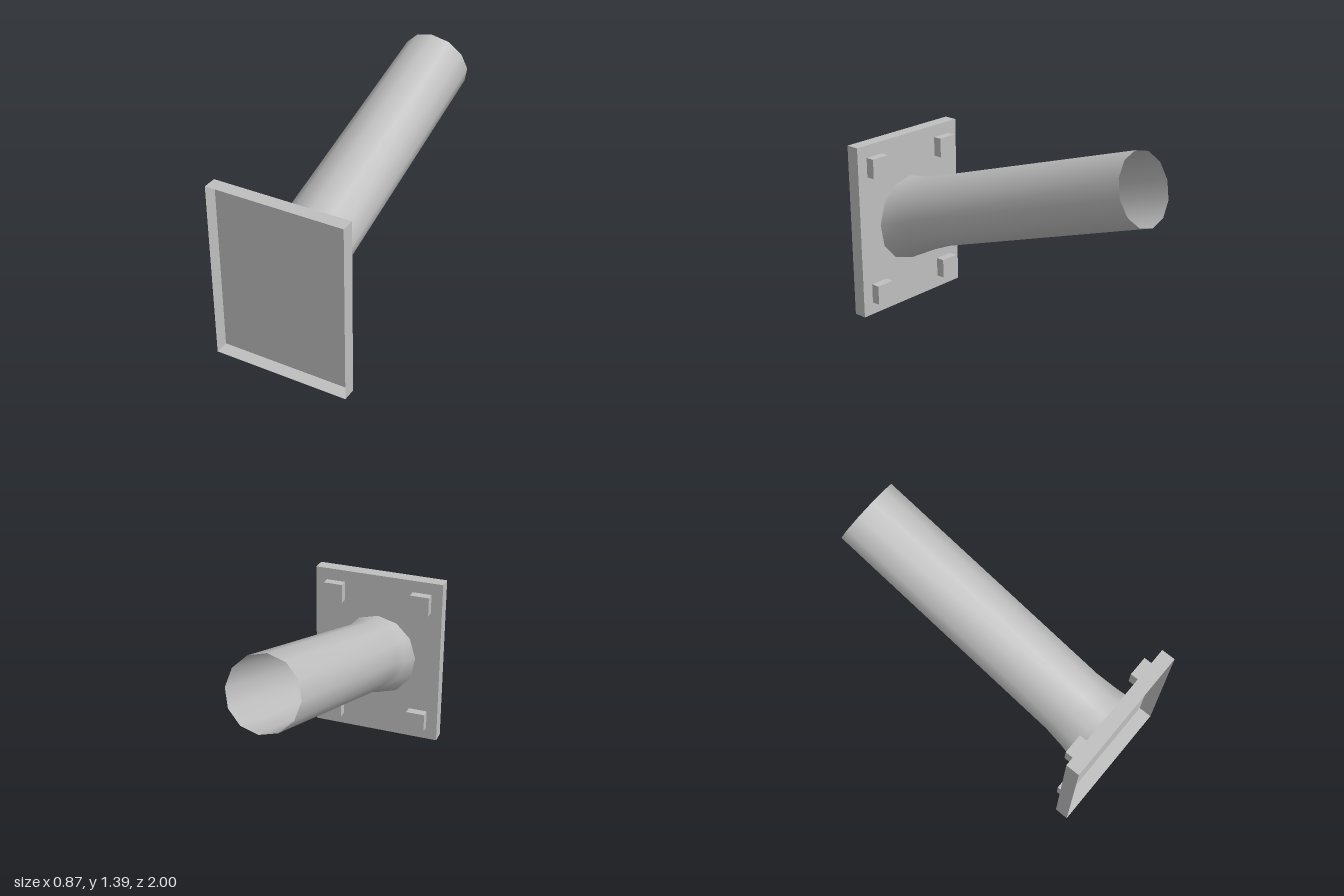
import * as THREE from 'three';

const SIDES = 12;
const TILT = 0.31;
const BACK = 0.913; // z of the plate's rear sheet

const steel = new THREE.MeshStandardMaterial({ color: 0xbfbfbf, side: THREE.DoubleSide });
steel.name = 'grey steel';

function add(group, name, geometry, x = 0, y = 0, z = 0) {
  const mesh = new THREE.Mesh(geometry, steel);
  mesh.name = name;
  mesh.position.set(x, y, z);
  group.add(mesh);
  return mesh;
}

// Shallow tray: a box without its front face
function trayGeometry(w, h, d) {
  const box = new THREE.BoxGeometry(w, h, d);
  const index = Array.from(box.index.array);
  index.splice(24, 6);
  box.clearGroups();
  box.setIndex(index);
  return box;
}

// Flared foot of the tube, cut flat against the plate (half outline, mirrored)
function footRing() {
  const half = [[0, 0.855], [0.13, 0.82], [0.225, 0.725], [0.266, 0.588], [0.24, 0.44], [0.142, 0.33], [0, 0.286]];
  const mirrored = half.slice(1, -1).reverse().map(([x, y]) => [-x, y]);
  return [...half, ...mirrored].map(([x, y]) => new THREE.Vector3(x, y, BACK));
}

// Ring square to the inclined axis
function tiltedRing(y, z, r) {
  return Array.from({ length: SIDES }, (_, i) => {
    const a = (i / SIDES) * Math.PI * 2;
    const up = Math.cos(a) * r;
    return new THREE.Vector3(Math.sin(a) * r, y + up * Math.cos(TILT), z + up * Math.sin(TILT));
  });
}

function loft(rings) {
  const index = [];
  for (let i = 0; i < rings.length - 1; i++) {
    for (let j = 0; j < SIDES; j++) {
      const a = i * SIDES + j;
      const b = i * SIDES + (j + 1) % SIDES;
      index.push(a, b, a + SIDES, b, b + SIDES, a + SIDES);
    }
  }
  const geometry = new THREE.BufferGeometry().setFromPoints(rings.flat());
  geometry.setIndex(index);
  geometry.computeVertexNormals();
  return geometry;
}

export function createModel() {
  const group = new THREE.Group();
  group.name = 'flangedTube';

  // Mounting plate, open at the front
  const depth = 1 - BACK;
  add(group, 'mountingPlate', trayGeometry(0.87, 1.14, depth), 0, 0.57, BACK + depth / 2);

  // Inclined tube with a flared foot and an open upper end
  const foot = footRing();
  add(group, 'tube', loft([
    foot,
    tiltedRing(0.632, 0.77, 0.243),
    tiltedRing(0.678, 0.63, 0.229),
    tiltedRing(1.181, -0.931, 0.221),
  ]));

  // Flat closing face of the tube foot
  const outline = new THREE.Shape(foot.map((p) => new THREE.Vector2(p.x, p.y)));
  add(group, 'tubeFootCap', new THREE.ShapeGeometry(outline), 0, 0, BACK + 0.002);

  // Four square bolt heads on the rear of the plate
  for (const x of [-0.297, 0.297]) {
    for (const y of [0.145, 0.997]) {
      add(group, 'boltHead', new THREE.BoxGeometry(0.127, 0.127, 0.058), x, y, BACK - 0.029);
    }
  }
  return group;
}
